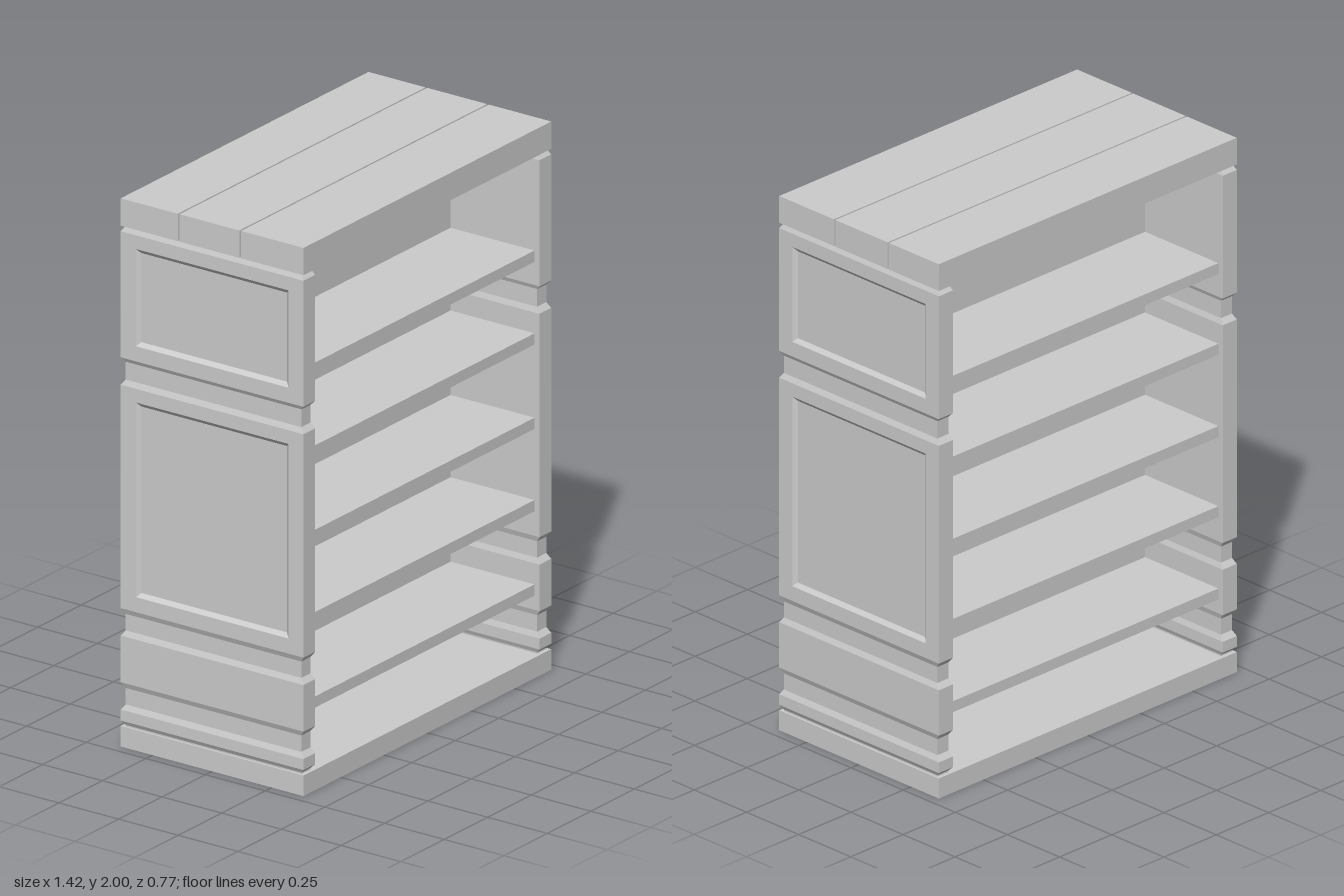
import * as THREE from 'three';

const material = new THREE.MeshStandardMaterial({ color: 0xcccccc, flatShading: true });
const W = 0.712, D = 0.383;          // half width and half depth of the case
const INNER = 0.645;                 // inner face of the side panels

function box(name, x0, x1, y0, y1, z0, z1) {
  const mesh = new THREE.Mesh(new THREE.BoxGeometry(x1 - x0, y1 - y0, z1 - z0), material);
  mesh.position.set((x0 + x1) / 2, (y0 + y1) / 2, (z0 + z1) / 2);
  mesh.name = name;
  return mesh;
}

// Side profile: height and how far the edges are cut in (0 = full, 1 = groove)
const profile = [
  [0.07, 1], [0.08, 1], [0.095, 0], [0.135, 0], [0.155, 1], [0.215, 1], [0.235, 0],
  [0.405, 0], [0.425, 1], [0.485, 1], [0.505, 0],
  [1.32, 0], [1.34, 1], [1.405, 1], [1.42, 0], [1.88, 0], [1.9, 1],
];
// Sunken fields on the outer face: bottom and top height
const fields = [[0.56, 1.27], [1.475, 1.83]];
const BEVEL = 0.015, SINK = 0.012, FIELD_Z = 0.32;

// Closed cross-sections stacked in y, with the fields pressed into the outer face
function sideGeometry() {
  const rows = profile.map(([y, cut]) => ({ y, cut, sunk: false }));
  for (const [a, b] of fields) {
    rows.push({ y: a, cut: 0, sunk: false }, { y: a + BEVEL, cut: 0, sunk: true },
      { y: b - BEVEL, cut: 0, sunk: true }, { y: b, cut: 0, sunk: false });
  }
  rows.sort((p, q) => p.y - q.y);

  const fz = FIELD_Z - BEVEL;
  const loops = rows.map(({ y, cut, sunk }) => {
    const z = D - cut * 0.015, out = W - cut * 0.008, inn = INNER + cut * 0.006;
    const low = out - (sunk ? SINK : 0);
    return [[inn, z], [out, z], [out, FIELD_Z], [low, fz], [low, -fz], [out, -FIELD_Z], [out, -z], [inn, -z]]
      .map(([px, pz]) => new THREE.Vector3(px, y, pz));
  });

  const points = [];
  const quad = (a, b, c, d) => {
    // split along the mitre where only one corner is sunk
    if (Math.abs(a.x - c.x) > Math.abs(b.x - d.x)) points.push(a, b, c, a, c, d);
    else points.push(a, b, d, b, c, d);
  };
  const n = loops[0].length;
  for (let i = 0; i < loops.length - 1; i++) {
    for (let j = 0; j < n; j++) {
      const k = (j + 1) % n;
      quad(loops[i][j], loops[i][k], loops[i + 1][k], loops[i + 1][j]);
    }
  }
  // end caps
  const bottom = loops[0], top = loops[loops.length - 1];
  for (let j = 1; j < n - 1; j++) {
    points.push(bottom[0], bottom[j + 1], bottom[j], top[0], top[j], top[j + 1]);
  }
  const geometry = new THREE.BufferGeometry().setFromPoints(points);
  geometry.computeVertexNormals();
  return geometry;
}

export function createModel() {
  const model = new THREE.Group();
  model.name = 'doubleSidedBookcase';

  // base and central divider
  model.add(box('base', -W, W, 0, 0.075, -D, D));
  model.add(box('divider', -INNER - 0.01, INNER + 0.01, 0.075, 1.9, -0.01, 0.01));

  // top of three planks with narrow gaps
  const top = new THREE.Group();
  top.name = 'top';
  for (const [z0, z1] of [[-D, -0.144], [-0.137, 0.114], [0.121, D]]) {
    top.add(box('topPlank', -W, W, 1.9, 2, z0, z1));
  }
  model.add(top);

  // side panels, the right one turned half round
  const geometry = sideGeometry();
  for (const name of ['leftSide', 'rightSide']) {
    const side = new THREE.Mesh(geometry, material);
    side.name = name;
    if (name === 'rightSide') side.rotation.y = Math.PI;
    model.add(side);
  }

  // shelves on both faces
  for (const y of [0.287, 0.595, 0.895, 1.203, 1.505]) {
    model.add(box('frontShelf', -INNER, INNER, y, y + 0.041, 0.01, 0.362));
    model.add(box('backShelf', -INNER, INNER, y, y + 0.041, -0.362, -0.01));
  }
  return model;
}
